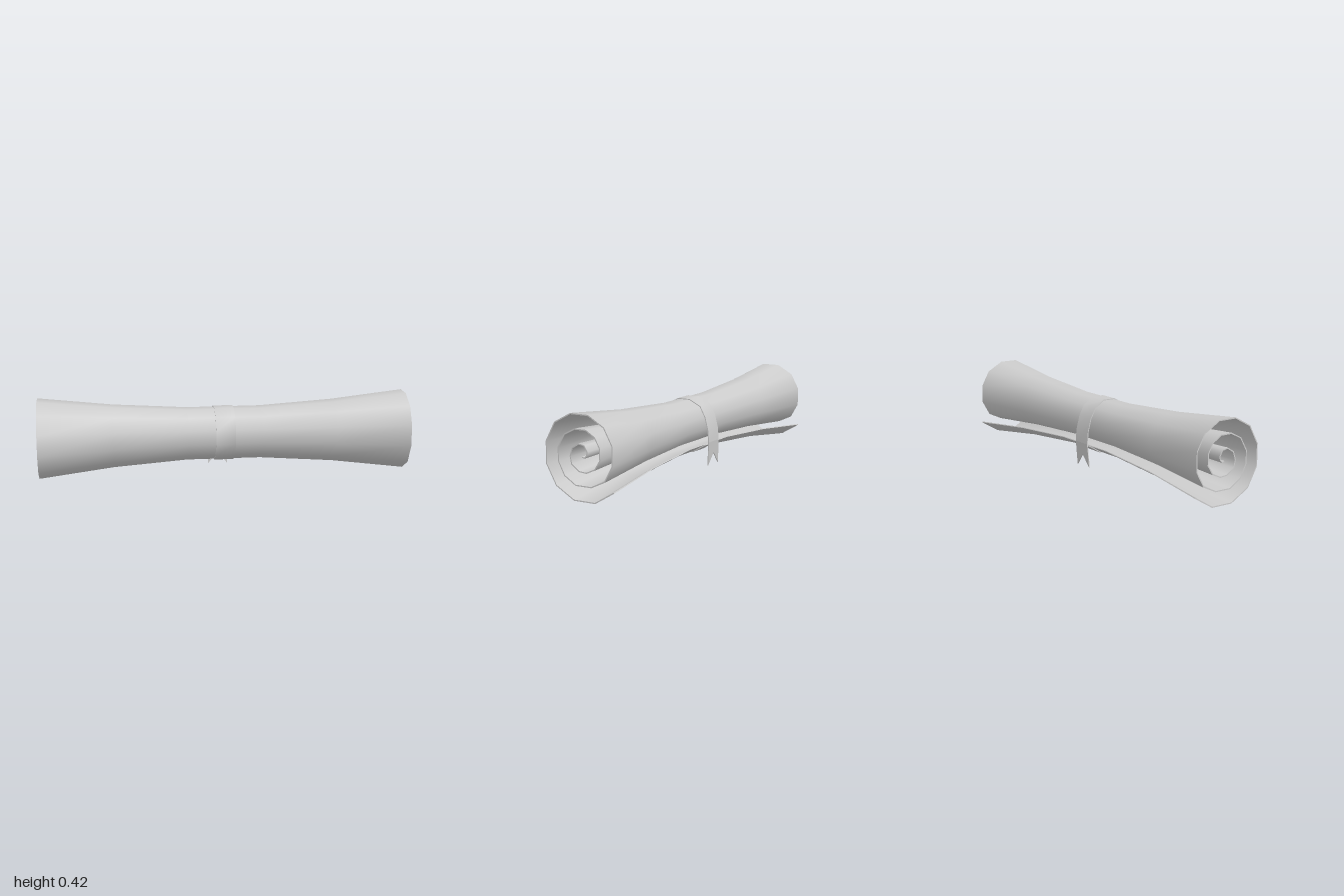
import * as THREE from 'three';
import { toCreasedNormals } from 'three/addons/utils/BufferGeometryUtils.js';

const V = (x, y) => new THREE.Vector2(x, y);
const CENTRE = V(0.015, 0.23);   // axis of the roll, as (-z, y)
const WAIST = 0.66;              // size of the roll at its middle

// Spiral of the sheet at its ends, as (-z, y), from the loose edge inwards
const SPIRAL = [
  [0.197, 0.067], [0.088, 0.003], [-0.035, 0.003], [-0.14, 0.063], [-0.197, 0.165], [-0.197, 0.279],
  [-0.144, 0.376], [-0.049, 0.427], [0.054, 0.427], [0.144, 0.376], [0.19, 0.292], [0.19, 0.192],
  [0.145, 0.113], [0.067, 0.077], [-0.024, 0.077], [-0.09, 0.118], [-0.126, 0.187], [-0.126, 0.256],
  [-0.087, 0.324], [-0.026, 0.355], [0.04, 0.355], [0.092, 0.324], [0.121, 0.272], [0.121, 0.213],
  [0.09, 0.165], [0.04, 0.143], [-0.003, 0.147], [-0.047, 0.178], [-0.056, 0.219], [-0.042, 0.262],
  [-0.003, 0.286], [0.031, 0.279], [0.049, 0.249], [0.045, 0.228], [0.029, 0.215], [0.017, 0.219],
].map(([x, y]) => V(x, y));

// Thickens a path to its right (or left if negative) and extrudes it along x
function stripGeometry(path, thickness, width, steps) {
  const offset = path.map((p, i) => {
    const a = path[Math.max(i - 1, 0)], b = path[Math.min(i + 1, path.length - 1)];
    const d = b.clone().sub(a).normalize();
    return V(p.x + d.y * thickness, p.y - d.x * thickness);
  });
  const shape = new THREE.Shape([...path, ...offset.reverse()]);
  const geo = new THREE.ExtrudeGeometry(shape, { depth: width, steps, bevelEnabled: false });
  return geo.translate(0, 0, -width / 2).rotateY(Math.PI / 2);
}

export function createModel() {
  const group = new THREE.Group();
  const material = new THREE.MeshStandardMaterial({ color: 0xcccccc, side: THREE.DoubleSide });
  const add = (name, geo) => {
    const mesh = new THREE.Mesh(toCreasedNormals(geo, 0.95), material);
    mesh.name = name;
    group.add(mesh);
    return mesh;
  };

  // Rolled sheet, pinched towards the waist
  const sheet = stripGeometry(SPIRAL, 0.006, 2, 5);
  const pos = sheet.attributes.position;
  for (let i = 0; i < pos.count; i++) {
    const x = Math.abs(pos.getX(i));
    const s = x > 0.9 ? 1 : x > 0.5 ? 0.785 : WAIST;
    pos.setY(i, CENTRE.y + (pos.getY(i) - CENTRE.y) * s);
    pos.setZ(i, -CENTRE.x + (pos.getZ(i) + CENTRE.x) * s);
  }
  add('rolledSheet', sheet);

  // Ribbon around the waist, leaving the roll at the back
  const loop = SPIRAL.slice(0, 11).map((p) => p.clone().sub(CENTRE).multiplyScalar(WAIST).add(CENTRE));
  loop.push(V(0.149, 0.2), V(0.154, 0.135));
  const band = stripGeometry(loop, -0.005, 0.106, 1);
  // the band drifts sideways a little towards the back
  const bp = band.attributes.position;
  for (let i = 0; i < bp.count; i++) if (bp.getZ(i) < -0.1) bp.setX(i, bp.getX(i) - 0.01);
  add('ribbonBand', band);

  // Hanging ribbon end with a forked tip
  const fork = new THREE.Shape([
    V(-0.063, 0), V(0.043, 0), V(0.038, -0.13), V(-0.015, -0.065), V(-0.07, -0.13),
  ]);
  const tail = add('ribbonTail', new THREE.ExtrudeGeometry(fork, { depth: 0.005, bevelEnabled: false }));
  tail.position.set(0, 0.137, -0.159);
  tail.rotation.x = -0.06;

  return group;
}
